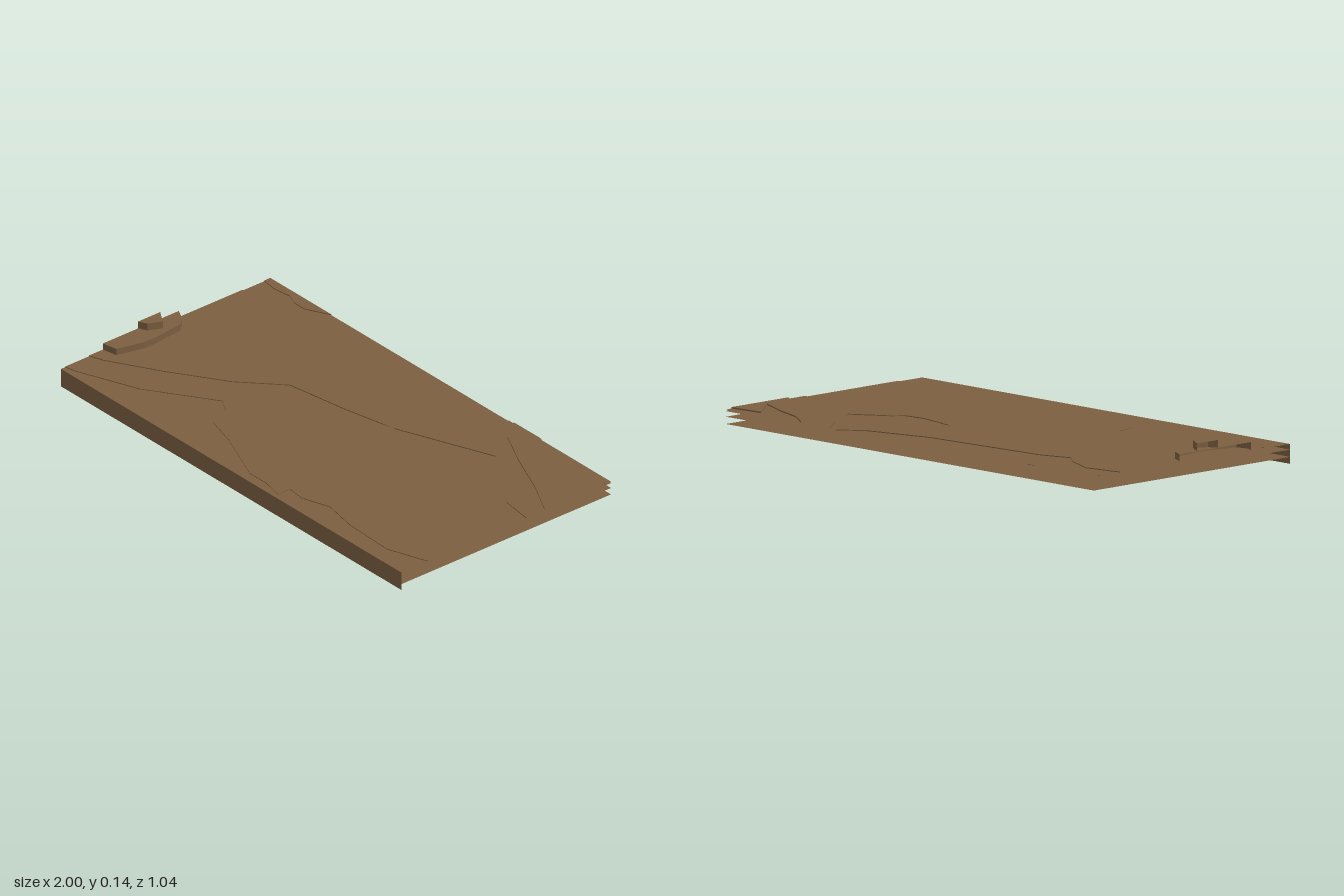
import * as THREE from 'three';

// Contour-map terrain: open stacked sheets, stepped terraces and one front wall.
export function createModel() {
  const model = new THREE.Group();
  const earth = new THREE.MeshStandardMaterial({ color: 0x7b5f40, side: THREE.DoubleSide });
  earth.name = 'earth brown';
  const X = 1, Z = 0.52;

  const add = (parent, name, geometry) => {
    const mesh = new THREE.Mesh(geometry, earth);
    mesh.name = name;
    parent.add(mesh);
  };

  // Flat horizontal sheet from an [x, z] outline
  const sheet = (outline, y) => {
    const shape = new THREE.Shape(outline.map(([x, z]) => new THREE.Vector2(x, -z)));
    return new THREE.ShapeGeometry(shape).rotateX(-Math.PI / 2).translate(0, y, 0);
  };

  // Upright ribbon along an [x, z] path
  const ribbon = (path, y0, y1) => {
    const p = [];
    for (let i = 0; i + 1 < path.length; i++) {
      const [ax, az] = path[i], [bx, bz] = path[i + 1];
      p.push(ax, y0, az, bx, y0, bz, bx, y1, bz, ax, y0, az, bx, y1, bz, ax, y1, az);
    }
    const g = new THREE.BufferGeometry();
    g.setAttribute('position', new THREE.Float32BufferAttribute(p, 3));
    g.computeVertexNormals();
    return g;
  };

  // Terrace: top sheet closed along the border, riser only along the contour
  const terrace = (name, contour, border, y0, y1) => {
    const group = new THREE.Group();
    group.name = name;
    add(group, name + 'Top', sheet([...contour, ...border], y1));
    add(group, name + 'Riser', ribbon(contour, y0, y1));
    model.add(group);
  };

  // Full sheets and front wall
  const full = [[-X, Z], [X, Z], [X, -Z], [-X, -Z]];
  [0.027, 0.055, 0.0765].forEach((y, i) => add(model, 'baseSheet' + (i + 1), sheet(full, y)));
  add(model, 'frontWall', ribbon([[-X, Z], [X, Z]], 0, 0.0765));

  // Broad middle ground above the low front bank
  terrace('middleGround', [
    [-1, 0.5], [-0.95, 0.49], [-0.69, 0.39], [-0.42, 0.21], [-0.35, 0.25], [-0.35, 0.29], [-0.32, 0.34],
    [-0.18, 0.38], [0.06, 0.48], [0.16, 0.48], [0.25, 0.5], [0.25, 0.44], [0.33, 0.45],
    [0.45, 0.41], [0.6, 0.44], [0.83, 0.45], [1, 0.39],
  ], [[X, -Z], [-X, -Z]], 0.0765, 0.0795);

  // Upper ground, bordered by a channel along the back
  const southEdge = [
    [-1, 0.38], [-0.94, 0.36], [-0.73, 0.24], [-0.5, 0.09], [-0.34, -0.06], [-0.08, -0.1],
    [0.16, -0.15], [0.57, -0.31], [0.61, -0.25], [0.7, -0.22], [0.8, -0.24], [0.72, -0.12], [0.86, -0.12], [1, -0.1],
  ];
  const northEdge = [
    [0.4, -0.52], [0.31, -0.45], [0.04, -0.38], [-0.53, -0.34], [-0.65, -0.3], [-0.71, -0.35],
    [-0.84, -0.41], [-0.96, -0.39], [-1, -0.38],
  ];
  add(model, 'upperGroundTop', sheet([...southEdge, [X, -Z], ...northEdge], 0.083));
  add(model, 'upperGroundSouthRiser', ribbon(southEdge, 0.0795, 0.083));
  add(model, 'upperGroundNorthRiser', ribbon(northEdge, 0.0795, 0.083));

  // Shelf in front of the hollow
  terrace('hollowShelf', [
    [0.16, -0.15], [0.24, -0.13], [0.35, -0.11], [0.44, -0.12], [0.47, -0.16], [0.61, -0.25],
    [0.7, -0.22], [0.8, -0.24], [0.72, -0.12], [0.86, -0.12],
  ], [[0.88, 0.1], [0.3, 0.2], [-0.05, -0.09]], 0.0795, 0.083);

  // Back corner shelf
  terrace('backCornerShelf', [[-1, -0.49], [-0.93, -0.48], [-0.85, -0.49], [-0.8, -0.47], [-0.74, -0.47], [-0.64, -0.52]],
    [[-X, -Z]], 0.0795, 0.083);

  // Ridge in the opposite back corner, with its inner notch
  const ridgeFront = [[0.43, -0.52], [0.5, -0.43], [0.66, -0.35], [0.85, -0.27], [1, -0.19]];
  const ridgeBack = [[1, -0.49], [0.85, -0.48], [0.96, -0.34], [0.83, -0.4], [0.69, -0.45], [0.59, -0.52]];
  add(model, 'ridgeTop', sheet([...ridgeFront, ...ridgeBack], 0.0885));
  add(model, 'ridgeFrontRiser', ribbon(ridgeFront, 0.083, 0.0885));
  add(model, 'ridgeBackRiser', ribbon(ridgeBack, 0.083, 0.0885));

  // Two-step hill on the side border
  terrace('lowerHill', [
    [-1, -0.065], [-0.95, -0.04], [-0.92, -0.005], [-0.905, 0.13], [-0.905, 0.18], [-0.935, 0.3], [-1, 0.312],
  ], [], 0.0795, 0.11);
  terrace('upperHill', [[-1, 0.027], [-0.94, 0.065], [-0.965, 0.12], [-1, 0.137]], [], 0.11, 0.14);

  return model;
}
